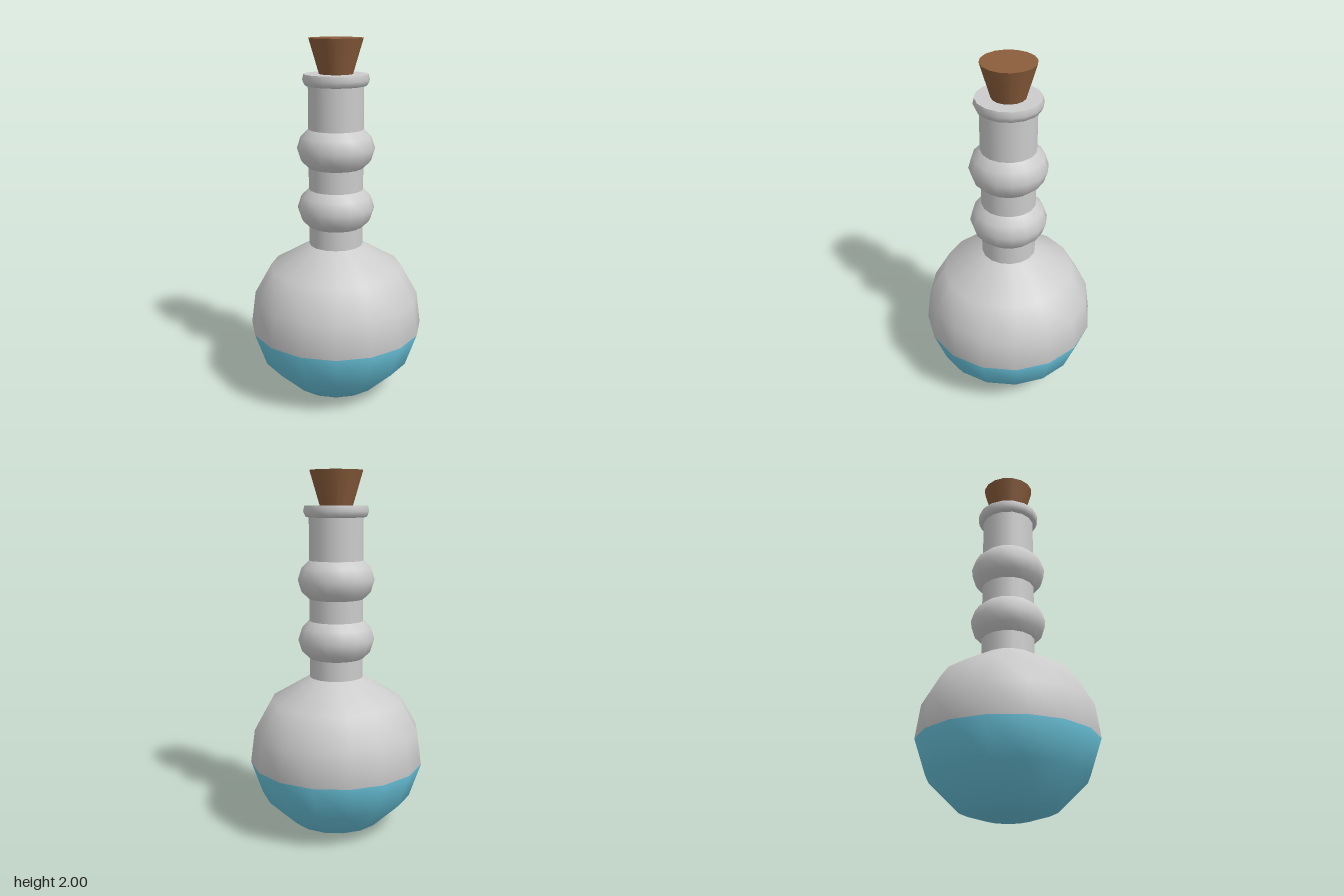
import * as THREE from 'three';

const SIDES = 16;

// Turned surface from [radius, height] pairs, listed bottom to top
function turned(profile) {
  return new THREE.LatheGeometry(profile.map(([r, y]) => new THREE.Vector2(r, y)), SIDES);
}

// Keep only profile bands from..to of a turned surface, preserving its smooth normals
function bands(geometry, from, to, total) {
  const index = geometry.index.array;
  const kept = [];
  for (let s = 0; s < SIDES; s++) {
    for (let b = from; b < to; b++) {
      const start = (s * total + b) * 6;
      kept.push(...index.slice(start, start + 6));
    }
  }
  const part = geometry.clone();
  part.setIndex(kept);
  return part;
}

export function createModel() {
  const model = new THREE.Group();
  model.name = 'corkedFlask';

  const glass = new THREE.MeshStandardMaterial({ color: 0xcccccc, side: THREE.DoubleSide });
  const liquid = new THREE.MeshStandardMaterial({ color: 0x69c4dc, side: THREE.DoubleSide });
  const cork = new THREE.MeshStandardMaterial({ color: 0x8b5e3c });

  const add = (name, geometry, material) => {
    const mesh = new THREE.Mesh(geometry, material);
    mesh.name = name;
    model.add(mesh);
    return mesh;
  };

  // Round bowl: lower half filled, upper half clear
  const bowlProfile = [
    [0, 0.005], [0.13, 0.005], [0.26, 0.04], [0.425, 0.2], [0.49, 0.39],
    [0.465, 0.575], [0.37, 0.745], [0.15, 0.875],
  ];
  const bowl = turned(bowlProfile);
  const total = bowlProfile.length - 1;
  add('liquid', bands(bowl, 0, 4, total), liquid);
  add('bowl', bands(bowl, 4, total, total), glass);

  // Straight neck
  add('neck', turned([[0.15, 0.865], [0.15, 1.77]]), glass);

  // Two swellings around the neck
  [1.087, 1.418].forEach((y, i) => {
    const bulge = add(i ? 'upperBulge' : 'lowerBulge', turned([
      [0.148, -0.107], [0.192, -0.066], [0.213, 0], [0.192, 0.066], [0.148, 0.107],
    ]), glass);
    bulge.position.y = y;
  });

  // Rolled lip with a flat rim reaching in to the stopper
  add('lip', turned([
    [0.148, 1.752], [0.168, 1.757], [0.18, 1.785], [0.173, 1.815],
  ]), glass);
  add('rim', turned([[0.173, 1.815], [0.085, 1.815]]), glass);

  // Tapered stopper
  const stopper = add('stopper', new THREE.CylinderGeometry(0.145, 0.089, 0.19, SIDES), cork);
  stopper.position.y = 1.905;

  // Stand the flask exactly on the ground
  model.children.forEach((part) => {
    if (part.name === 'liquid') {
      const p = part.geometry.attributes.position;
      for (let i = 0; i < p.count; i++) if (p.getY(i) < 0.01) p.setY(i, 0);
    }
  });
  return model;
}
